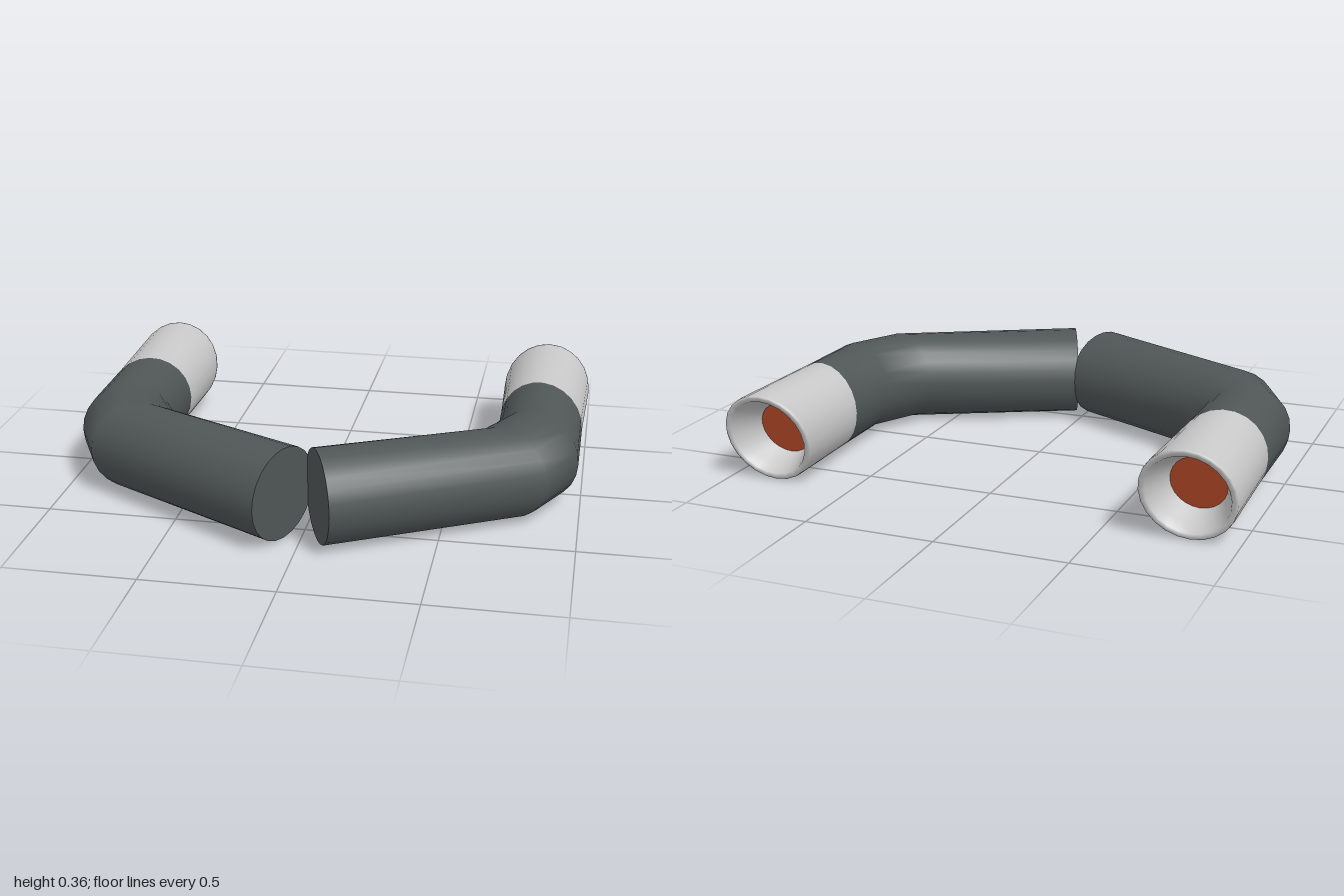
import * as THREE from 'three';

const SIDES = 24;
const MID_Y = 0.18;

// One elliptical section: centre (x, z), horizontal half-axis (hx, hz),
// vertical radius ry, and lean (z offset at the top of the section).
const section = (x, z, hx, hz, ry, lean = 0) => ({ x, z, hx, hz, ry, lean });

// Smooth skin through closed sections, mirrored across x when side is -1.
function loft(sections, side) {
  const positions = [];
  const indices = [];
  for (const s of sections) {
    for (let j = 0; j < SIDES; j++) {
      const a = (j / SIDES) * Math.PI * 2;
      const c = Math.cos(a);
      const n = Math.sin(a);
      positions.push(side * (s.x + s.hx * c), MID_Y + s.ry * n, s.z + s.hz * c + s.lean * n);
    }
  }
  const tri = (a, b, c) => (side > 0 ? indices.push(a, b, c) : indices.push(a, c, b));
  for (let i = 0; i < sections.length - 1; i++) {
    for (let j = 0; j < SIDES; j++) {
      const k = (j + 1) % SIDES;
      const a = i * SIDES + j;
      const b = i * SIDES + k;
      tri(a, a + SIDES, b);
      tri(b, a + SIDES, b + SIDES);
    }
  }
  const geometry = new THREE.BufferGeometry();
  geometry.setAttribute('position', new THREE.Float32BufferAttribute(positions, 3));
  geometry.setIndex(indices);
  geometry.computeVertexNormals();
  return geometry;
}

export function createModel() {
  const model = new THREE.Group();
  model.name = 'twinPipes';

  const material = (name, color) => {
    const m = new THREE.MeshStandardMaterial({ color });
    m.name = name;
    return m;
  };
  const darkMetal = material('darkMetal', 0x505656);
  const silver = material('silver', 0xc8c8c8);
  const innerRed = material('innerRed', 0xb54a28);

  // Sections from the inner front end, round the bend, to the back tip
  const end = section(0.0625, 0.585, 0.0775, 0.175, 0.177);
  const joint = section(0.82, -0.275, 0.166, 0.035, 0.178);
  const pipe = [
    end,
    section(0.715, 0.243, 0.165, 0.0875, 0.177),
    section(0.82, 0.04, 0.165, 0.08, 0.177),
    joint,
  ];
  const tip = [
    joint,
    section(0.82, -0.695, 0.179, 0, 0.18, -0.05),
    section(0.82, -0.708, 0.178, 0, 0.179, -0.05),
    section(0.82, -0.713, 0.17, 0, 0.171, -0.047),
    section(0.82, -0.708, 0.155, 0, 0.156, -0.043),
    section(0.82, -0.66, 0.137, 0, 0.138, -0.038),
    section(0.82, -0.57, 0.105, 0, 0.105, -0.029),
  ];
  const mouth = tip[tip.length - 1];
  const centreOf = (s) => section(s.x, s.z, 0, 0, 0);

  for (const side of [1, -1]) {
    const group = new THREE.Group();
    group.name = side > 0 ? 'leftPipe' : 'rightPipe';
    const add = (name, sections, mat) => {
      const mesh = new THREE.Mesh(loft(sections, side), mat);
      mesh.name = name;
      group.add(mesh);
    };
    add('bentPipe', pipe, darkMetal);
    add('frontCap', [centreOf(end), end], darkMetal);
    add('flaredTip', tip, silver);
    add('innerDisc', [mouth, centreOf(mouth)], innerRed);
    model.add(group);
  }
  return model;
}
